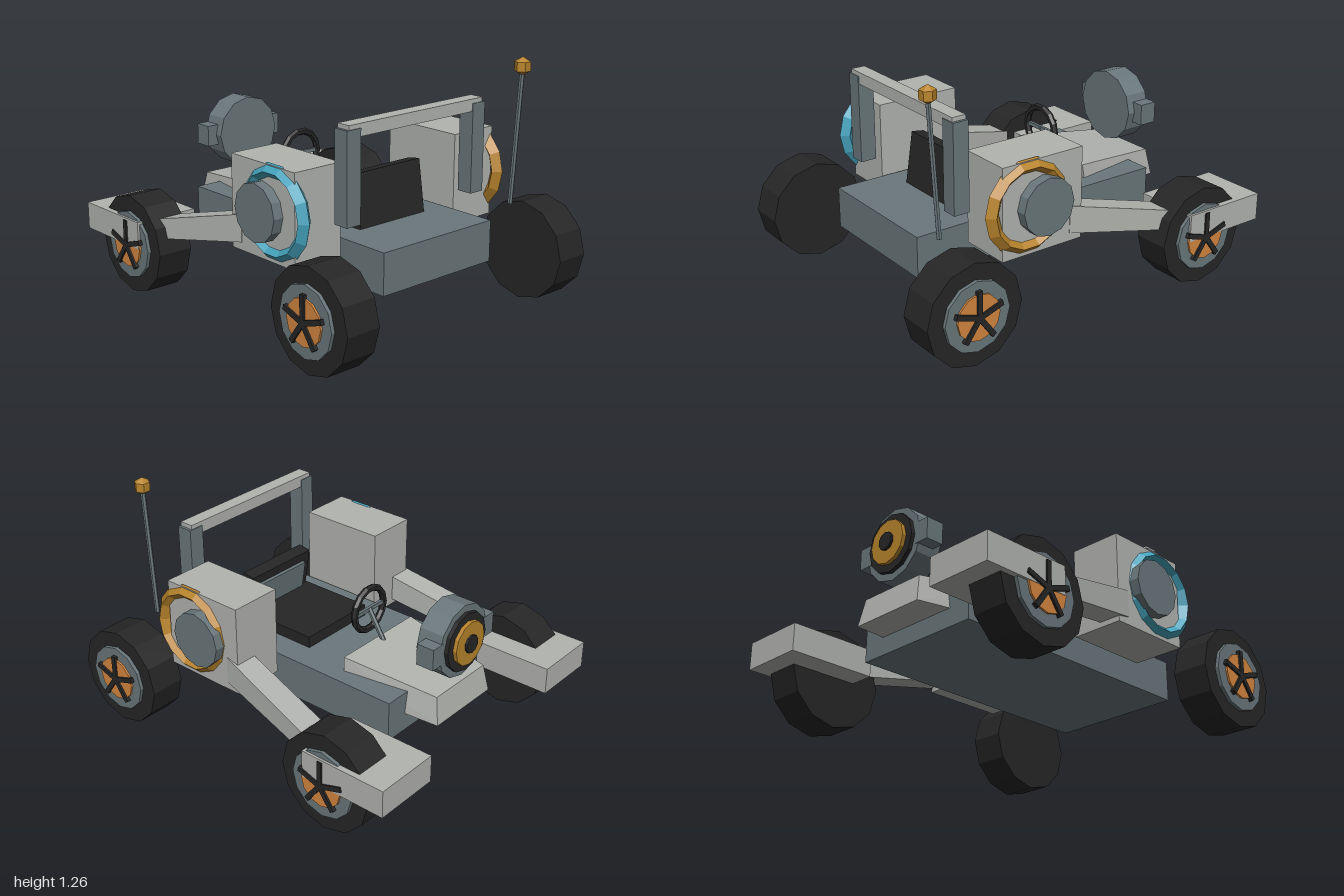
import * as THREE from 'three';
import { ConvexGeometry } from 'three/addons/geometries/ConvexGeometry.js';

const paint = (name, color) => {
  const m = new THREE.MeshStandardMaterial({ color });
  m.name = name;
  return m;
};

export function createModel() {
  const root = new THREE.Group();
  root.name = 'buggy';
  const light = paint('light grey', 0xb2b4b0);
  const slate = paint('slate grey', 0x6a777b);
  const black = paint('black', 0x262626);
  const gold = paint('gold', 0xb8842c);
  const orange = paint('orange', 0xd5863f);
  const blue = paint('blue', 0x45a3bd);

  const add = (name, geo, mat, parent = root) => {
    const mesh = new THREE.Mesh(geo, mat);
    mesh.name = name;
    parent.add(mesh);
    return mesh;
  };
  // faceted normals
  const flat = (geo) => {
    const g = geo.index ? geo.toNonIndexed() : geo;
    g.computeVertexNormals();
    return g;
  };
  // box from its limits
  const box = (name, mat, x0, x1, y0, y1, z0, z1, parent = root) => {
    const m = add(name, new THREE.BoxGeometry(x1 - x0, y1 - y0, z1 - z0), mat, parent);
    m.position.set((x0 + x1) / 2, (y0 + y1) / 2, (z0 + z1) / 2);
    return m;
  };
  // box mirrored across x = 0
  const boxPair = (name, mat, x0, x1, ...rest) => {
    box(name + 'Left', mat, x0, x1, ...rest);
    box(name + 'Right', mat, -x1, -x0, ...rest);
  };
  // faceted disc along x or z between two limits
  const disc = (name, mat, axis, r, a, b, sides, parent = root) => {
    const g = new THREE.CylinderGeometry(r, r, Math.abs(b - a), sides);
    if (axis === 'x') g.rotateZ(Math.PI / 2); else g.rotateX(Math.PI / 2);
    const m = add(name, flat(g), mat, parent);
    m.position[axis] = (a + b) / 2;
    return m;
  };
  // straight rod between two points
  const rod = (name, mat, r, a, b, sides) => {
    const dir = b.clone().sub(a);
    const m = add(name, flat(new THREE.CylinderGeometry(r, r, dir.length(), sides)), mat);
    m.position.copy(a).add(b).multiplyScalar(0.5);
    m.quaternion.setFromUnitVectors(new THREE.Vector3(0, 1, 0), dir.normalize());
    return m;
  };
  const V = (x, y, z) => new THREE.Vector3(x, y, z);

  // chassis slab
  box('chassis', slate, -0.36, 0.36, 0.26, 0.47, -0.66, 0.76);

  // tapered nose
  const nose = [];
  for (const s of [-1, 1]) {
    nose.push(V(s * 0.265, 0.54, -0.305), V(s * 0.285, 0.37, -0.32),
      V(s * 0.19, 0.485, -0.81), V(s * 0.21, 0.345, -0.835));
  }
  add('nose', new ConvexGeometry(nose), light);

  // seat
  box('seatBase', black, -0.22, 0.22, 0.46, 0.53, -0.04, 0.40);
  const back = new THREE.Group();
  back.name = 'seatBack';
  back.position.set(0, 0.6, 0.395);
  back.rotation.x = -0.15;
  root.add(back);
  box('backrest', black, -0.215, 0.215, -0.135, 0.135, -0.035, 0.035, back);
  box('backPanel', slate, -0.17, 0.17, -0.12, 0.085, -0.052, -0.035, back);

  // steering wheel and column
  const wheelRim = add('steeringWheel', flat(new THREE.TorusGeometry(0.113, 0.018, 6, 14)), black);
  wheelRim.position.set(0, 0.675, -0.243);
  rod('steeringColumn', slate, 0.013, V(0, 0.68, -0.243), V(0, 0.51, -0.35), 6);
  box('steeringSpoke', slate, -0.1, 0.1, 0.665, 0.685, -0.252, -0.236);

  // roll bar
  boxPair('rollBarPost', slate, 0.37, 0.455, 0.57, 1.025, 0.53, 0.615);
  box('rollBarTop', light, -0.44, 0.44, 0.985, 1.047, 0.535, 0.61);

  // rear lamp drum with stacked discs
  const lamp = new THREE.Group();
  lamp.name = 'lamp';
  lamp.position.y = 0.71;
  root.add(lamp);
  disc('lampDrum', slate, 'z', 0.188, -0.68, -0.812, 12, lamp);
  disc('lampRim', black, 'z', 0.152, -0.8, -0.833, 12, lamp);
  disc('lampGlass', gold, 'z', 0.113, -0.82, -0.853, 12, lamp);
  disc('lampCore', black, 'z', 0.046, -0.84, -0.866, 10, lamp);
  boxPair('lampBracket', slate, 0.16, 0.24, 0.655, 0.765, -0.815, -0.72);

  // antenna
  rod('antennaRod', slate, 0.013, V(0.52, 0.52, 0.743), V(0.52, 1.2, 0.788), 6);
  const tip = add('antennaTip', flat(new THREE.SphereGeometry(0.046, 6, 3)), gold);
  tip.position.set(0.52, 1.216, 0.788);

  // side pods, arms and fenders
  boxPair('sidePod', light, 0.382, 0.657, 0.38, 0.845, 0.03, 0.49);
  boxPair('fender', light, 0.48, 0.83, 0.258, 0.4, -1, -0.532);
  for (const s of [-1, 1]) {
    const side = s > 0 ? 'Left' : 'Right';
    const arm = [];
    for (const [x0, x1, y0, y1, z] of [[0.53, 0.66, 0.42, 0.56, 0.1], [0.63, 0.77, 0.29, 0.385, -0.6]]) {
      arm.push(V(s * x0, y0, z), V(s * x1, y0, z), V(s * x0, y1, z), V(s * x1, y1, z));
    }
    add('arm' + side, new ConvexGeometry(arm), light);
    const ring = new THREE.TorusGeometry(0.2, 0.038, 4, 14).rotateY(Math.PI / 2);
    add('podRing' + side, flat(ring), s > 0 ? gold : blue).position.set(s * 0.646, 0.62, 0.342);
    const hub = disc('podHub' + side, slate, 'x', 0.145, s * 0.6, s * 0.71, 12);
    hub.position.y = 0.615;
    hub.position.z = 0.262;
  }

  // wheels
  for (const s of [-1, 1]) for (const z of [-0.64, 0.744]) {
    const wheel = new THREE.Group();
    wheel.name = (z > 0 ? 'front' : 'rear') + 'Wheel' + (s > 0 ? 'Left' : 'Right');
    wheel.position.set(0, 0.256, z);
    root.add(wheel);
    disc('tire', black, 'x', 0.256, s * 0.613, s * 0.8, 12, wheel);
    disc('rim', slate, 'x', 0.175, s * 0.75, s * 0.818, 12, wheel);
    disc('hubDisc', orange, 'x', 0.115, s * 0.8, s * 0.828, 12, wheel);
    for (let i = 0; i < 5; i++) {
      const spoke = new THREE.BoxGeometry(0.02, 0.132, 0.026).translate(0, 0.066, 0);
      const m = add('spoke', spoke, black, wheel);
      m.position.x = s * 0.828;
      m.rotation.x = (i * Math.PI * 2) / 5;
    }
  }
  return root;
}
